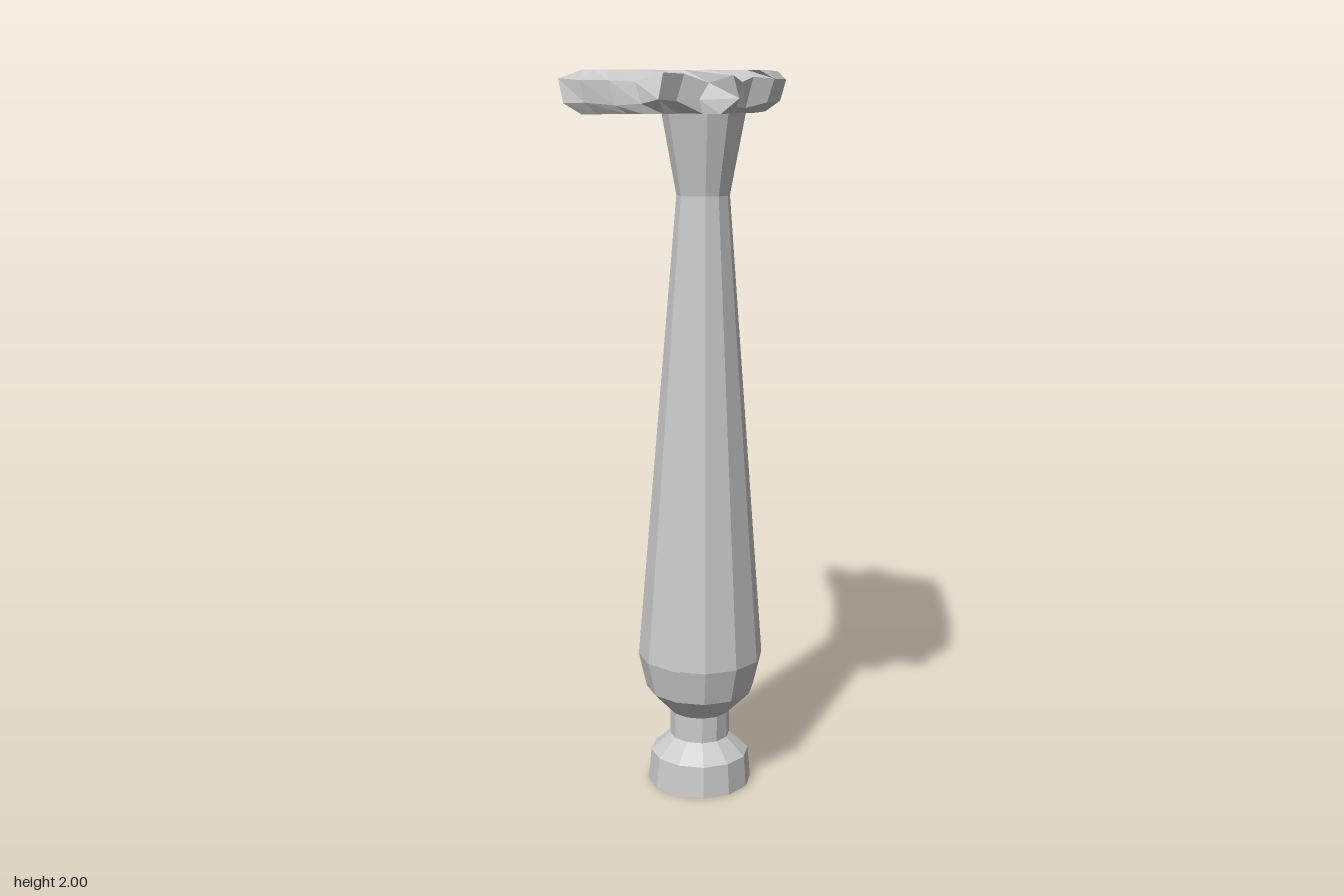
import * as THREE from 'three';

const COLS = 10; // divisions across the rail
const LEVELS = [2.0, 1.98, 1.925, 1.9]; // rail edge profile, top to bottom
const INSET = [0.02, 0, 0.015, 0.05]; // how far each level is set in from the sides

// Small seeded noise in -1..1
let seed = 7;
const noise = () => {
  seed = (seed * 16807) % 2147483647;
  return (seed / 2147483647) * 2 - 1;
};

// Straight stations across the curved rail: inner and outer edge [x, z]
const STATIONS = [
  [[-0.36, -0.287], [0.04, -0.49]],
  [[-0.222, -0.145], [0.1, -0.42]],
  [[-0.075, 0.06], [0.28, -0.18]],
  [[0.05, 0.28], [0.41, 0.03]],
];

// Broken ends, inner to outer edge [x, z]
const BACK_TOP = [[-0.445, -0.4], [-0.4, -0.395], [-0.37, -0.41], [-0.32, -0.41], [-0.3, -0.46],
  [-0.27, -0.495], [-0.235, -0.505], [-0.19, -0.49], [-0.13, -0.51], [-0.06, -0.525], [-0.02, -0.545]];
const FRONT_TOP = [[0.155, 0.43], [0.19, 0.43], [0.215, 0.41], [0.24, 0.37], [0.265, 0.33],
  [0.25, 0.26], [0.29, 0.225], [0.35, 0.21], [0.365, 0.16], [0.39, 0.115], [0.415, 0.1]];
const FRONT_MID = [[0.175, 0.535], [0.21, 0.5], [0.24, 0.44], [0.285, 0.4], [0.34, 0.375],
  [0.33, 0.3], [0.37, 0.24], [0.445, 0.225], [0.425, 0.18], [0.43, 0.13], [0.435, 0.07]];

// Points of one station as [level][column]
function stationGrid([a, b]) {
  const inner = new THREE.Vector2(...a);
  const outer = new THREE.Vector2(...b);
  const across = outer.clone().sub(inner).normalize();
  return LEVELS.map((y, l) => {
    const p = inner.clone().addScaledVector(across, INSET[l]);
    const q = outer.clone().addScaledVector(across, -INSET[l]);
    return Array.from({ length: COLS + 1 }, (_, j) => {
      const v = p.clone().lerp(q, j / COLS);
      return new THREE.Vector3(v.x, y, v.y);
    });
  });
}

// Points of a broken end; pull moves each level back into the rail
function endGrid(lines, pull, dir, rough) {
  return LEVELS.map((y, l) => lines[l].map(([x, z], j) => {
    const inside = j > 0 && j < COLS && l > 0 ? rough : 0;
    const squeeze = l > 0 ? INSET[l] * (1 - (2 * j) / COLS) : 0;
    return new THREE.Vector3(
      x + dir[0] * pull[l] + 0.78 * squeeze + noise() * inside,
      y + (l < 3 ? noise() * inside * 0.8 : 0),
      z + dir[1] * pull[l] - 0.62 * squeeze + noise() * inside,
    );
  }));
}

function railGeometry() {
  const grids = [
    endGrid([BACK_TOP, BACK_TOP, BACK_TOP, BACK_TOP], [0, 0.005, 0.025, 0.045], [0.6, 0.8], 0.01),
    ...STATIONS.map(stationGrid),
    endGrid([FRONT_TOP, FRONT_MID, FRONT_MID, FRONT_MID], [0, 0.015, 0, 0.025], [-0.5, -0.85], 0.016),
  ];
  const pos = [];
  const quad = (a, b, c, d) => {
    for (const v of [a, b, c, a, c, d]) pos.push(v.x, v.y, v.z);
  };

  // Closed ring around the section: top, outer side, bottom, inner side
  const rings = grids.map((g) => [
    ...g[0], g[1][COLS], g[2][COLS], ...[...g[3]].reverse(), g[2][0], g[1][0],
  ]);
  for (let i = 0; i < rings.length - 1; i++) {
    const r = rings[i];
    const s = rings[i + 1];
    for (let k = 0; k < r.length; k++) {
      const n = (k + 1) % r.length;
      quad(r[k], s[k], s[n], r[n]);
    }
  }

  // Rough end faces
  const back = grids[0];
  const front = grids[grids.length - 1];
  for (let l = 0; l < 3; l++) {
    for (let j = 0; j < COLS; j++) {
      quad(front[l][j], front[l + 1][j], front[l + 1][j + 1], front[l][j + 1]);
      quad(back[l][j], back[l][j + 1], back[l + 1][j + 1], back[l + 1][j]);
    }
  }

  const geo = new THREE.BufferGeometry();
  geo.setAttribute('position', new THREE.Float32BufferAttribute(pos, 3));
  geo.computeVertexNormals();
  return geo;
}

export function createModel() {
  const group = new THREE.Group();
  group.name = 'brokenBalustrade';
  const material = new THREE.MeshStandardMaterial({ color: 0xcccccc, flatShading: true });

  // Turned twelve-sided post
  const profile = [
    [0, 0], [0.148, 0], [0.14, 0.09], [0.085, 0.14], [0.085, 0.215], [0.153, 0.285],
    [0.176, 0.385], [0.072, 1.68], [0.113, 1.9], [0, 1.9],
  ].map(([r, y]) => new THREE.Vector2(r, y));
  const post = new THREE.Mesh(new THREE.LatheGeometry(profile, 12, Math.PI / 12), material);
  post.name = 'baluster';
  post.position.set(0.045, 0, -0.136);
  group.add(post);

  // Curved handrail piece, broken at both ends
  const rail = new THREE.Mesh(railGeometry(), material);
  rail.name = 'handrail';
  group.add(rail);

  return group;
}
